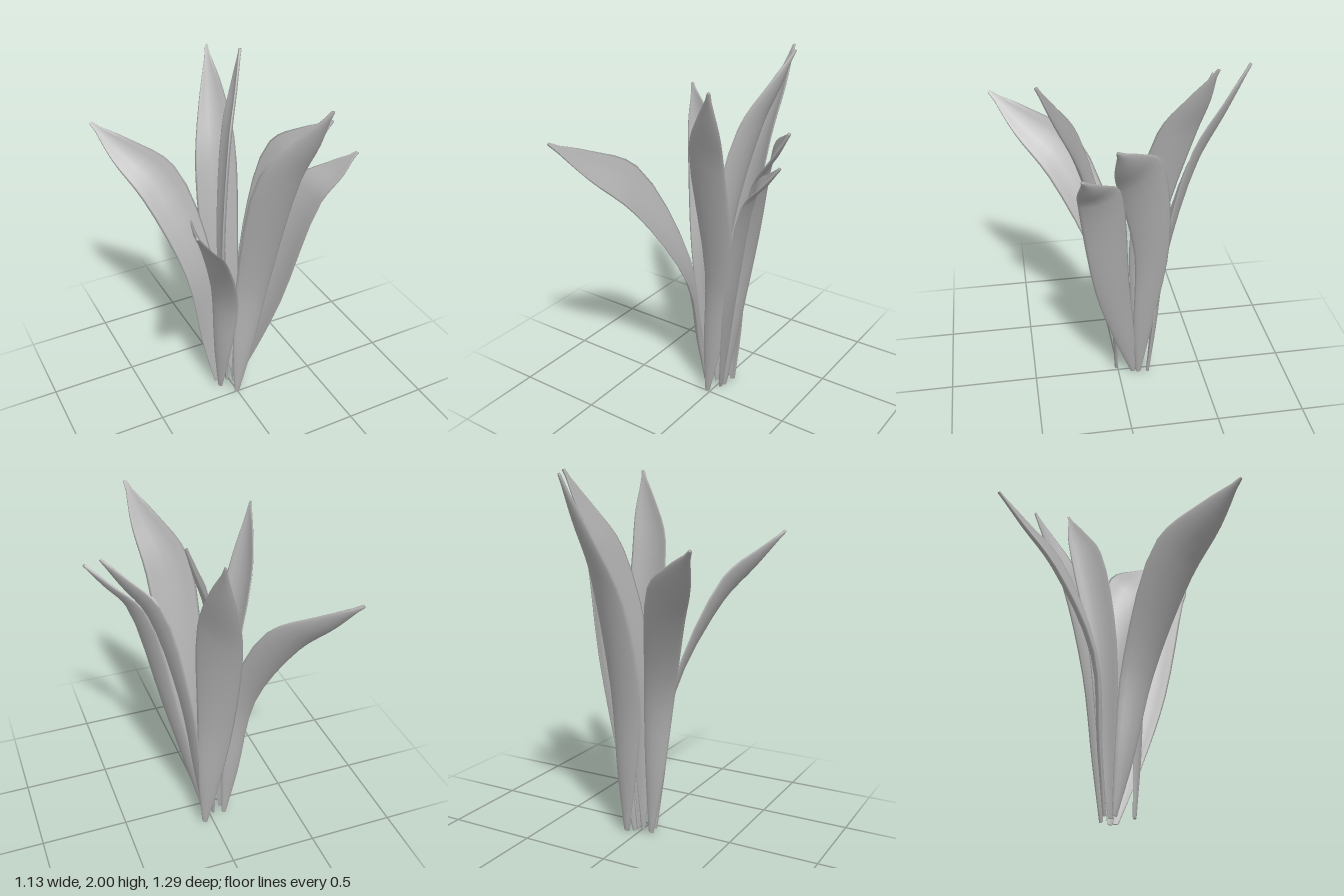
import * as THREE from 'three';

const P = (x, y, z) => new THREE.Vector3(x, y, z);

const STATIONS = 20, RING = 14, THICKNESS = 0.008, CUP = 0.13, MIN_WIDTH = 0.016;

// Lofts a thin, cupped blade. It runs from the tip through the widest span
// (edgeA to edgeB) and the middle of the stalk down to the base.
function bladeGeometry(tip, edgeA, edgeB, stalk, base) {
  const span = edgeB.clone().sub(edgeA);
  // The stalk is a little narrower and more level than the widest span.
  const half = span.clone().multiply(P(0.44, 0.2, 0.44));
  const foot = stalk.clone().lerp(base, 0.6);
  const edges = [[edgeA, -1], [edgeB, 1]].map(([edge, sign]) => new THREE.CatmullRomCurve3([
    tip,
    edge.clone().lerp(tip, 0.55).addScaledVector(span, sign * 0.07),
    edge,
    stalk.clone().addScaledVector(half, sign),
    foot.clone().addScaledVector(half, sign * 0.6),
    base.clone().addScaledVector(half, sign * 0.15),
  ]));

  const frame = (s) => {
    const [p, q] = edges.map((edge) => edge.getPoint(s));
    const inner = THREE.MathUtils.clamp(s, 0.05, 0.95);
    const [a, b] = edges.map((edge) => edge.getPoint(inner));
    const [ta, tb] = edges.map((edge) => edge.getTangent(inner));
    const side = b.sub(a).normalize();
    const normal = side.clone().cross(ta.add(tb)).normalize();
    const width = Math.max(p.distanceTo(q), MIN_WIDTH);
    return { centre: p.add(q).multiplyScalar(0.5), side, normal, width };
  };

  // The normal must point to the outer, lower face.
  const { centre: c, normal: n } = frame(0.4);
  if (n.dot(P(c.x, -0.1, c.z)) < 0) edges.reverse();

  const positions = [], index = [];
  for (let i = -1; i <= STATIONS + 1; i++) {
    const closed = i < 0 || i > STATIONS; // end rings shrink to a point
    const { centre, side, normal, width } = frame(THREE.MathUtils.clamp(i / STATIONS, 0, 1));
    for (let j = 0; j < RING; j++) {
      const angle = (j / RING) * Math.PI * 2;
      const across = closed ? 0 : Math.cos(angle) / 2;
      const skin = Math.sign(Math.sin(angle)) * Math.sqrt(Math.abs(Math.sin(angle))) * THICKNESS;
      const lift = closed ? 0 : skin + width * CUP * (0.5 - 4 * across * across);
      const v = centre.clone().addScaledVector(side, across * width).addScaledVector(normal, lift);
      positions.push(v.x, Math.max(v.y, 0), v.z);
    }
  }
  for (let i = 0; i < STATIONS + 2; i++) {
    for (let j = 0; j < RING; j++) {
      const p = i * RING + j, q = i * RING + ((j + 1) % RING);
      index.push(p, p + RING, q, q, p + RING, q + RING);
    }
  }
  const geometry = new THREE.BufferGeometry();
  geometry.setAttribute('position', new THREE.Float32BufferAttribute(positions, 3));
  geometry.setIndex(index);
  geometry.computeVertexNormals();
  return geometry;
}

export function createModel() {
  const model = new THREE.Group();
  model.name = 'leafyPlant';
  const leafGrey = new THREE.MeshStandardMaterial({ color: 0xb0b0b0 });
  leafGrey.name = 'leafGrey';

  const addLeaf = (name, ...points) => {
    const mesh = new THREE.Mesh(bladeGeometry(...points), leafGrey);
    mesh.name = name;
    model.add(mesh);
  };

  // Leaves: tip, widest span, stalk, base
  addLeaf('backRightLeaf', P(-0.56, 1.66, -0.64),
    P(-0.39, 1.27, -0.37), P(-0.19, 1.43, -0.39), P(-0.155, 0.87, -0.185), P(-0.08, 0.02, -0.13));
  addLeaf('frontRightLeaf', P(-0.52, 1.65, 0.64),
    P(-0.36, 1.42, 0.18), P(-0.25, 1.23, 0.35), P(-0.115, 0.8, 0.05), P(-0.08, 0.02, -0.08));
  addLeaf('backLeaf', P(0.13, 1.98, -0.63),
    P(-0.06, 1.33, -0.4), P(0.17, 1.53, -0.37), P(0.02, 0.82, -0.25), P(0.055, 0.02, -0.17));
  addLeaf('innerLeaf', P(0.24, 2.0, -0.44),
    P(0.06, 1.6, -0.19), P(0.11, 1.6, -0.38), P(-0.02, 0.98, -0.16), P(-0.02, 0.02, -0.11));
  addLeaf('leftLeaf', P(0.51, 1.74, 0.08),
    P(0.30, 1.56, -0.18), P(0.30, 1.4, 0.04), P(0.175, 0.98, -0.16), P(0.03, 0, -0.12));
  addLeaf('frontLeftLeaf', P(0.56, 1.63, 0.25),
    P(0.32, 1.42, 0.03), P(0.37, 1.38, 0.25), P(0.185, 0.74, 0.055), P(0.02, 0, -0.09));
  addLeaf('frontLeaf', P(0.28, 1.98, 0.42),
    P(0.01, 1.6, 0.22), P(0.24, 1.52, 0.24), P(0.08, 0.8, 0.04), P(-0.01, 0.02, 0.01));
  return model;
}
